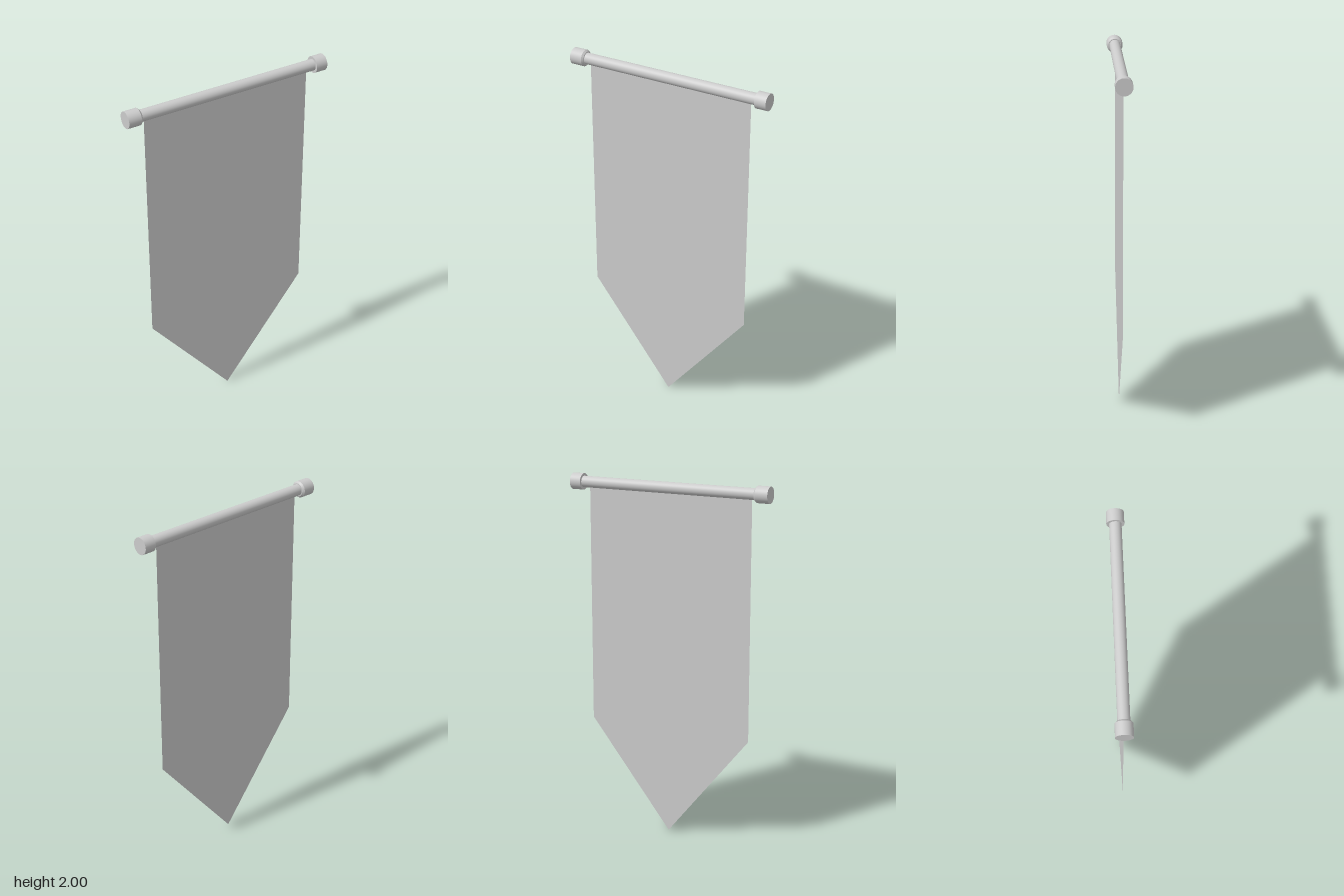
import * as THREE from 'three';

const ROD_Y = 1.955;
const SIDES = 48;

export function createModel() {
  const model = new THREE.Group();
  model.name = 'hangingBanner';
  const material = new THREE.MeshStandardMaterial({ color: 0xcccccc });
  const clothMaterial = new THREE.MeshStandardMaterial({ color: 0xcccccc, side: THREE.DoubleSide });

  const add = (name, geometry, mat = material) => {
    const mesh = new THREE.Mesh(geometry, mat);
    mesh.name = name;
    model.add(mesh);
    return mesh;
  };

  // Cylindrical part lying along x between two positions
  const addBar = (name, x0, x1, rLeft, rRight = rLeft, open = false) => {
    const geometry = new THREE.CylinderGeometry(rRight, rLeft, x1 - x0, SIDES, 1, open);
    geometry.rotateZ(-Math.PI / 2);
    geometry.translate((x0 + x1) / 2, ROD_Y, 0);
    return add(name, geometry);
  };

  // Rod
  addBar('rod', -0.55, 0.55, 0.031);

  // End caps: the right one has a chamfered inner edge
  addBar('leftCap', 0.525, 0.59, 0.045);
  addBar('rightCap', -0.59, -0.519, 0.045);
  addBar('rightCapChamfer', -0.519, -0.509, 0.045, 0.036);

  // Flat cloth with a pointed lower end
  const cloth = new THREE.Shape([
    new THREE.Vector2(-0.487, ROD_Y),
    new THREE.Vector2(-0.487, 0.605),
    new THREE.Vector2(0, 0),
    new THREE.Vector2(0.487, 0.605),
    new THREE.Vector2(0.487, ROD_Y),
  ]);
  add('cloth', new THREE.ShapeGeometry(cloth), clothMaterial);

  return model;
}
